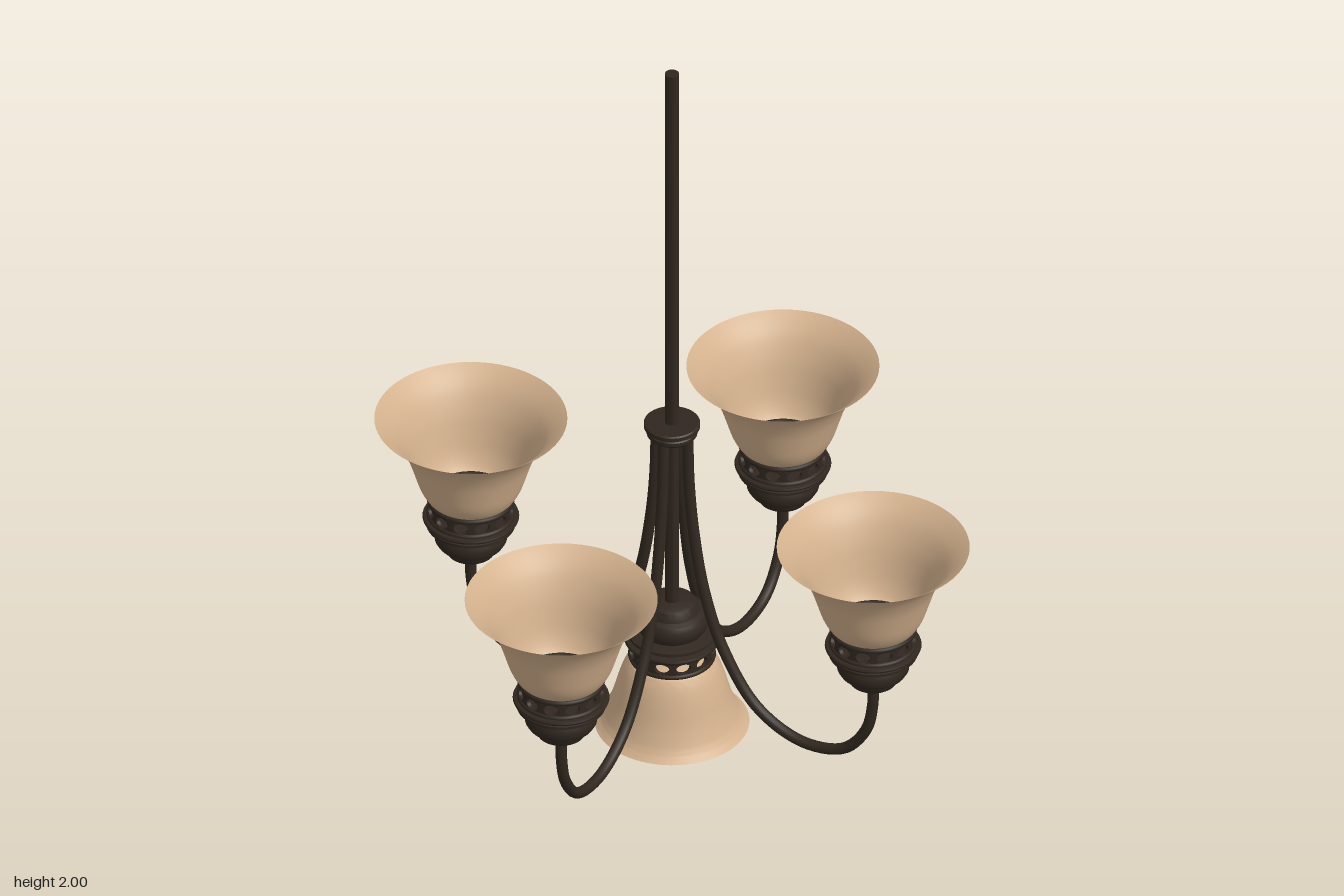
import * as THREE from 'three';
import { mergeGeometries, toCreasedNormals } from 'three/addons/utils/BufferGeometryUtils.js';

const metal = new THREE.MeshStandardMaterial({ color: 0x30271f });
const glass = new THREE.MeshStandardMaterial({ color: 0xd2b08c, side: THREE.DoubleSide });
const REACH = 0.578;

function mesh(name, geometry, material = metal) {
  const m = new THREE.Mesh(geometry, material);
  m.name = name;
  return m;
}

function lathe(points, segments = 48, crease = 0.6) {
  const g = new THREE.LatheGeometry(points.map(([r, y]) => new THREE.Vector2(r, y)), segments);
  return toCreasedNormals(g, crease);
}

// Smooth bell wall on a closed flat base
function bell(points) {
  const curve = new THREE.SplineCurve(points.map(([r, y]) => new THREE.Vector2(r, y)));
  return lathe([[0, points[0][1]], ...curve.getPoints(20).map(p => [p.x, p.y])], 64, 0.7);
}

// Wall with oval openings: one flat cell, bent round the axis and repeated
function piercedRing(radius, y0, y1, count) {
  const w = 2 * Math.PI * radius / count;
  const shape = new THREE.Shape();
  shape.moveTo(-w / 2, y0).lineTo(w / 2, y0).lineTo(w / 2, y1).lineTo(-w / 2, y1).closePath();
  const hole = new THREE.Path();
  hole.absellipse(0, (y0 + y1) / 2, w * 0.35, (y1 - y0) * 0.27, 0, Math.PI * 2, true);
  shape.holes.push(hole);
  const cell = new THREE.ExtrudeGeometry(shape, { depth: 0.01, bevelEnabled: false, curveSegments: 20 });
  const pos = cell.attributes.position, nor = cell.attributes.normal;
  const up = new THREE.Vector3(0, 1, 0), n = new THREE.Vector3();
  for (let i = 0; i < pos.count; i++) {
    const a = pos.getX(i) / radius, r = radius - 0.01 + pos.getZ(i);
    n.fromBufferAttribute(nor, i).applyAxisAngle(up, a);
    nor.setXYZ(i, n.x, n.y, n.z);
    pos.setXYZ(i, Math.sin(a) * r, pos.getY(i), Math.cos(a) * r);
  }
  const cells = [];
  for (let i = 0; i < count; i++) cells.push(cell.clone().rotateY((i + 0.5) * 2 * Math.PI / count));
  return mergeGeometries(cells);
}

function bead(radius, tube, y) {
  return new THREE.TorusGeometry(radius, tube, 10, 48).rotateX(Math.PI / 2).translate(0, y, 0);
}

// Socket cup, flange, pierced gallery and glass shade, standing on y = 0
function lamp(name, shadeProfile) {
  const g = new THREE.Group();
  g.name = name;
  g.add(
    mesh('socketCup', lathe([
      [0, 0], [0.05, 0], [0.06, 0.005], [0.067, 0.018], [0.07, 0.028], [0.084, 0.034], [0.091, 0.046],
      [0.092, 0.062], [0.089, 0.076], [0.083, 0.086], [0.1, 0.089], [0.113, 0.092], [0.113, 0.1],
      [0.104, 0.103], [0.104, 0.106], [0.12, 0.109], [0.122, 0.114], [0.12, 0.119], [0.1, 0.123], [0, 0.123]])),
    mesh('gallery', piercedRing(0.107, 0.118, 0.172, 12)),
    mesh('galleryLowerBead', bead(0.104, 0.008, 0.123)),
    mesh('galleryUpperBead', bead(0.103, 0.008, 0.168)),
    mesh('glassShade', bell(shadeProfile), glass));
  return g;
}

export function createModel() {
  const model = new THREE.Group();
  model.name = 'chandelier';

  // Hanging rod, running down to the central body
  const rod = new THREE.CylinderGeometry(0.018, 0.018, 1.64, 24).translate(0, 1.18, 0);
  model.add(mesh('hangingRod', toCreasedNormals(rod, 0.6)));

  // Spool that gathers the arms
  model.add(mesh('hub', lathe([
    [0, 0.885], [0.06, 0.885], [0.064, 0.89], [0.064, 0.9], [0.061, 0.903], [0.062, 0.908],
    [0.071, 0.911], [0.071, 0.921], [0.067, 0.924], [0, 0.924]])));

  // Four arms, each carrying an upward lamp
  const path = new THREE.CatmullRomCurve3([
    [0.045, 0.9], [0.049, 0.75], [0.063, 0.6], [0.093, 0.43], [0.148, 0.27], [0.245, 0.125],
    [0.37, 0.064], [0.49, 0.082], [0.557, 0.162], [0.577, 0.25], [REACH, 0.33],
  ].map(([x, y]) => new THREE.Vector3(x, y, 0)));
  const armGeometry = new THREE.TubeGeometry(path, 72, 0.0145, 14);
  const upShade = [[0.1, 0.172], [0.112, 0.182], [0.13, 0.215], [0.146, 0.265], [0.163, 0.315],
    [0.19, 0.365], [0.22, 0.397], [0.243, 0.415]];
  for (let i = 0; i < 4; i++) {
    const branch = new THREE.Group();
    branch.name = 'branch' + (i + 1);
    const light = lamp('upwardLamp', upShade);
    light.position.set(REACH, 0.32, 0);
    branch.add(mesh('arm', armGeometry), light);
    branch.rotation.y = i * Math.PI / 2;
    model.add(branch);
  }

  // Downward lamp in the centre
  const down = lamp('downwardLamp', [[0.1, 0.172], [0.11, 0.18], [0.125, 0.21], [0.138, 0.25],
    [0.152, 0.3], [0.17, 0.345], [0.182, 0.363], [0.195, 0.375]]);
  down.rotation.x = Math.PI;
  down.position.y = 0.375;
  model.add(down);
  return model;
}
